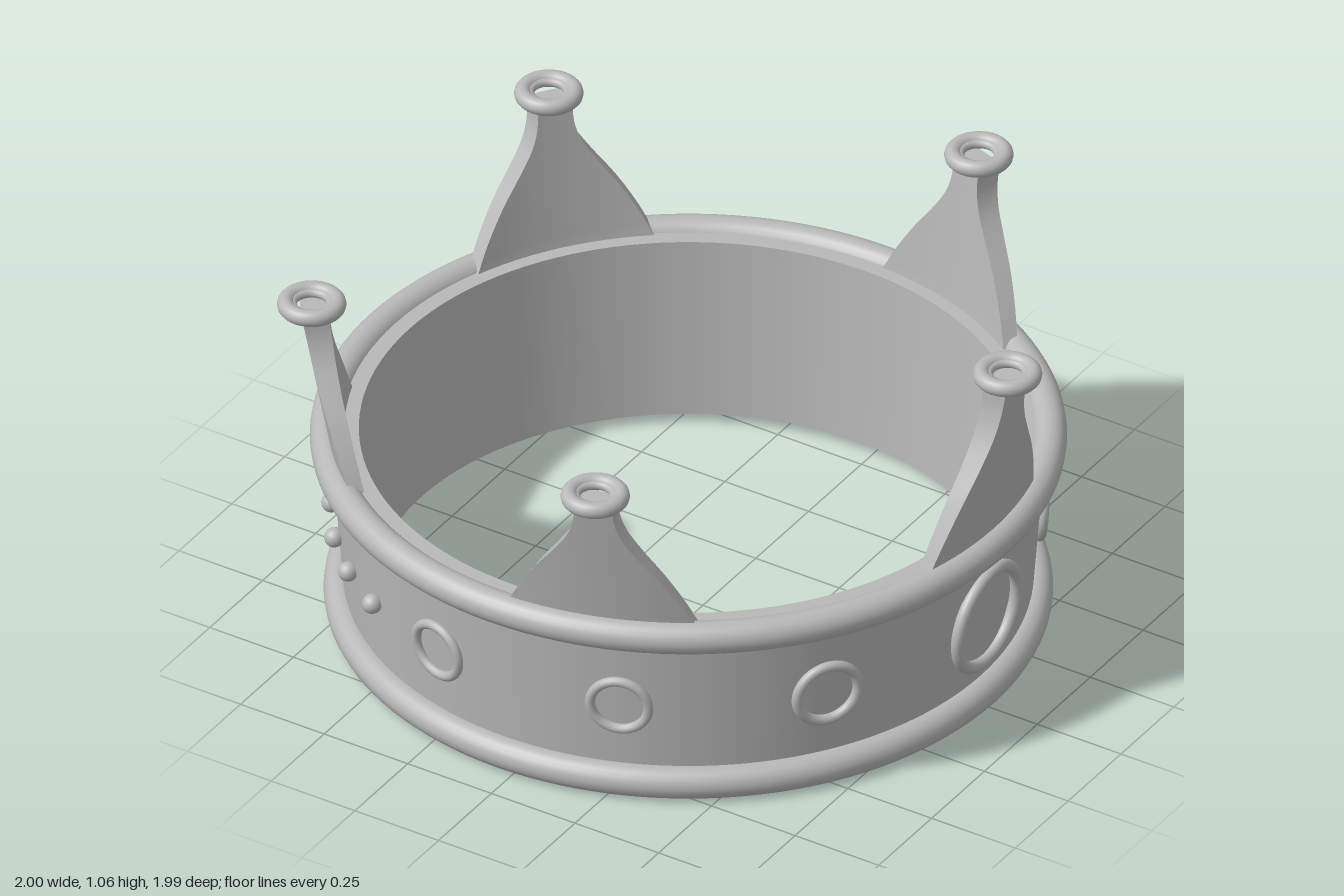
import * as THREE from 'three';

const CX = -0.043; // axis of the circlet
const rad = THREE.MathUtils.degToRad;

// piecewise linear / smooth profile of a point: [height 0..1, half width]
const widthCurve = new THREE.CatmullRomCurve3([
  [-0.1, 0.26], [0, 0.24], [0.14, 0.21], [0.34, 0.16], [0.52, 0.108],
  [0.68, 0.068], [0.82, 0.05], [0.97, 0.046],
].map(([h, w]) => new THREE.Vector3(w, h, 0)));

// curved, outward-leaning slab that narrows into a neck
function pointGeometry(height) {
  const g = new THREE.BoxGeometry(2, 1, 1, 12, 28, 1);
  const p = g.attributes.position;
  for (let i = 0; i < p.count; i++) {
    const c = widthCurve.getPoint(THREE.MathUtils.clamp(p.getY(i) + 0.5, 0, 1));
    const h = c.y;
    const thick = 0.04 + 0.03 * THREE.MathUtils.clamp(h, 0, 1);
    const r = 0.892 + 0.058 * h + p.getZ(i) * thick;
    const a = (p.getX(i) * c.x) / 0.9;
    p.setXYZ(i, r * Math.sin(a), 0.55 + h * height, r * Math.cos(a));
  }
  g.computeVertexNormals();
  return g;
}

export function createModel() {
  const crown = new THREE.Group();
  crown.name = 'crown';
  const metal = new THREE.MeshStandardMaterial({ color: 0xb8b8b8 });
  metal.name = 'grey metal';

  const circlet = new THREE.Group();
  circlet.name = 'circlet';
  circlet.position.x = CX;
  crown.add(circlet);

  const add = (name, geometry, parent = circlet) => {
    const m = new THREE.Mesh(geometry, metal);
    m.name = name;
    parent.add(m);
    return m;
  };
  // group turned so that its +z faces outward at the given angle from +x towards +z
  const spoke = (name, deg) => {
    const g = new THREE.Group();
    g.name = name;
    g.rotation.y = Math.PI / 2 - rad(deg);
    circlet.add(g);
    return g;
  };

  // flared band, each wall a separate surface so edges stay sharp
  const profile = [[0.797, 0.03], [0.869, 0.03], [0.907, 0.53], [0.833, 0.53], [0.797, 0.03]];
  const band = new THREE.Group();
  band.name = 'band';
  circlet.add(band);
  ['bandBottom', 'bandOuterWall', 'bandTop', 'bandInnerWall'].forEach((name, i) => {
    const pts = [profile[i], profile[i + 1]].map(([x, y]) => new THREE.Vector2(x, y));
    add(name, new THREE.LatheGeometry(pts, 128), band);
  });

  // rolled rims
  const rim = (name, r, tube, y) => {
    const m = add(name, new THREE.TorusGeometry(r, tube, 20, 128));
    m.rotation.x = Math.PI / 2;
    m.position.y = y;
  };
  rim('bottomRim', 0.878, 0.044, 0.046);
  rim('topRim', 0.914, 0.043, 0.51);

  // five points with ring finials, the first one taller
  for (let i = 0; i < 5; i++) {
    const top = i === 0 ? 1.04 : 0.95;
    const g = spoke('point', i * 72);
    add('pointBlade', pointGeometry(top - 0.55), g);
    [['finialRing', 0.066, 0.022], ['finialInnerRing', 0.049, 0.012]].forEach(([name, r, t]) => {
      const ring = add(name, new THREE.TorusGeometry(r, t, 14, 40), g);
      ring.rotation.x = Math.PI / 2;
      ring.position.set(0, top, 0.954);
    });
  }

  // ring settings on the band, mirrored about the large one
  const setting = (name, deg, r, tube) => {
    const m = add(name, new THREE.TorusGeometry(r, tube, 14, 56), spoke(name + 'Mount', deg));
    m.position.set(0, 0.277, 0.893);
    m.rotation.x = rad(4.4);
  };
  setting('largeSetting', 0, 0.139, 0.017);
  for (const s of [1, -1]) {
    setting('mediumSetting', s * 34.5, 0.084, 0.014);
    setting('smallSetting', s * 69, 0.075, 0.013);
    setting('smallSetting', s * 103, 0.075, 0.013);
  }

  // row of beads on the far side
  const bead = new THREE.SphereGeometry(0.026, 20, 14);
  for (let deg = 120; deg <= 240; deg += 10) {
    add('bead', bead, spoke('beadMount', deg)).position.set(0, 0.277, 0.903);
  }
  return crown;
}
